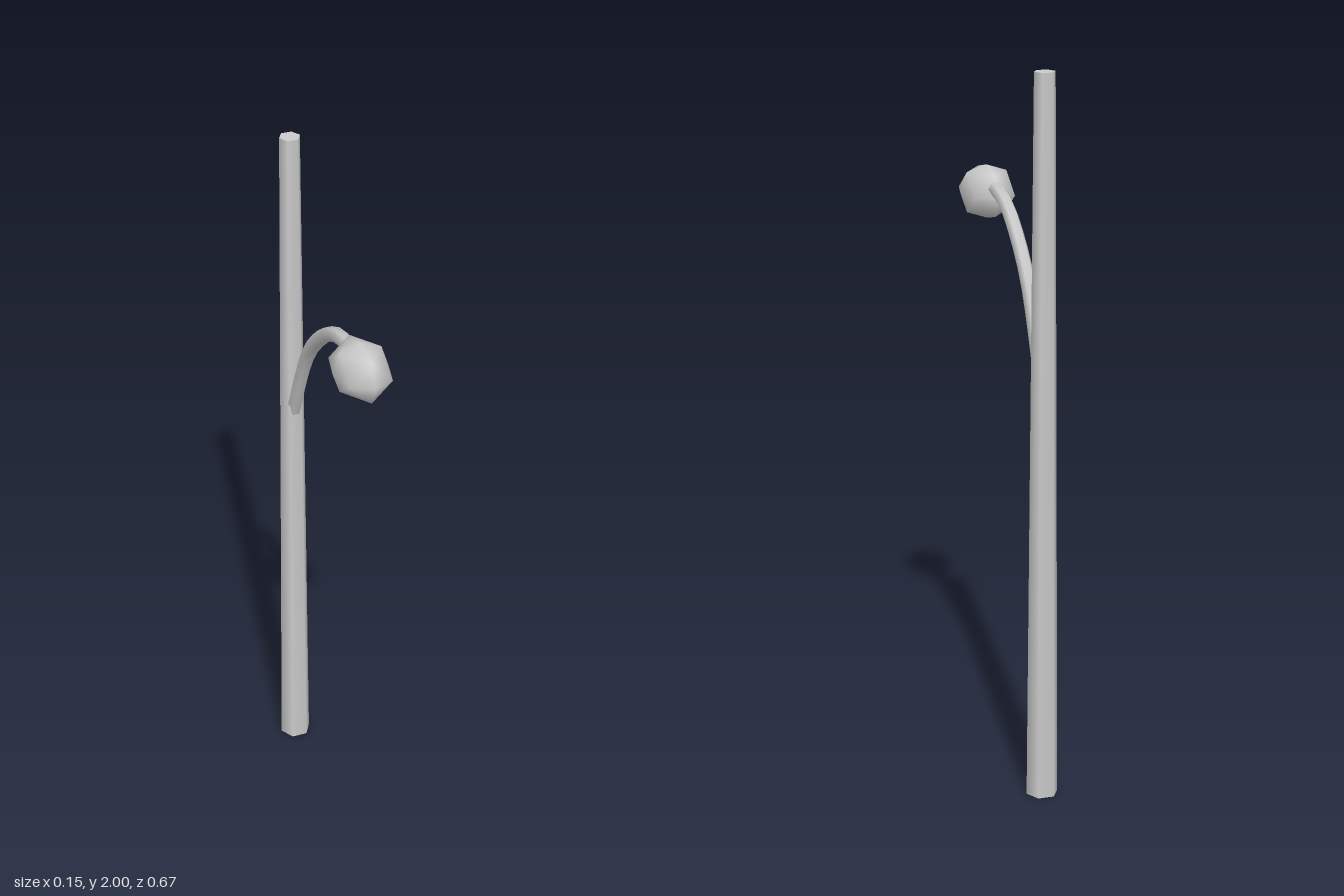
import * as THREE from 'three';
import { mergeVertices } from 'three/addons/utils/BufferGeometryUtils.js';

export function createModel() {
  const model = new THREE.Group();
  const add = (name, geometry, x, y, z) => {
    const material = new THREE.MeshStandardMaterial({ color: 0xcccccc });
    const mesh = new THREE.Mesh(geometry, material);
    mesh.name = name;
    mesh.position.set(x, y, z);
    model.add(mesh);
    return mesh;
  };

  // Tapered six-sided pole with corners on the left and right
  add('pole', new THREE.CylinderGeometry(0.029, 0.0445, 2, 6, 1, false, Math.PI / 2), 0, 1, -0.297);

  // Curved arm, starting inside the pole and ending inside the lamp
  const path = new THREE.CatmullRomCurve3([
    [1.14, -0.292], [1.2, -0.268], [1.425, -0.153], [1.562, -0.005], [1.6, 0.08], [1.611, 0.17],
  ].map(([y, z]) => new THREE.Vector3(0, y, z)));
  const arm = add('arm', new THREE.TubeGeometry(path, 12, 0.021, 6), 0, 0, 0);
  arm.material.side = THREE.DoubleSide;

  // Faceted egg-shaped lamp: a split octahedron with its edge midpoints pushed out
  let lamp = new THREE.OctahedronGeometry(1, 1);
  const p = lamp.attributes.position;
  const v = new THREE.Vector3();
  for (let i = 0; i < p.count; i++) {
    v.fromBufferAttribute(p, i);
    const isTip = Math.max(Math.abs(v.x), Math.abs(v.y), Math.abs(v.z)) > 0.9;
    v.multiplyScalar(isTip ? 1 : 1.06);
    p.setXYZ(i, v.x * 0.076, v.y * 0.075, v.z * 0.109);
  }
  lamp.deleteAttribute('normal');
  lamp.deleteAttribute('uv');
  lamp = mergeVertices(lamp);
  lamp.computeVertexNormals();
  add('lamp', lamp, 0, 1.585, 0.225);

  return model;
}
